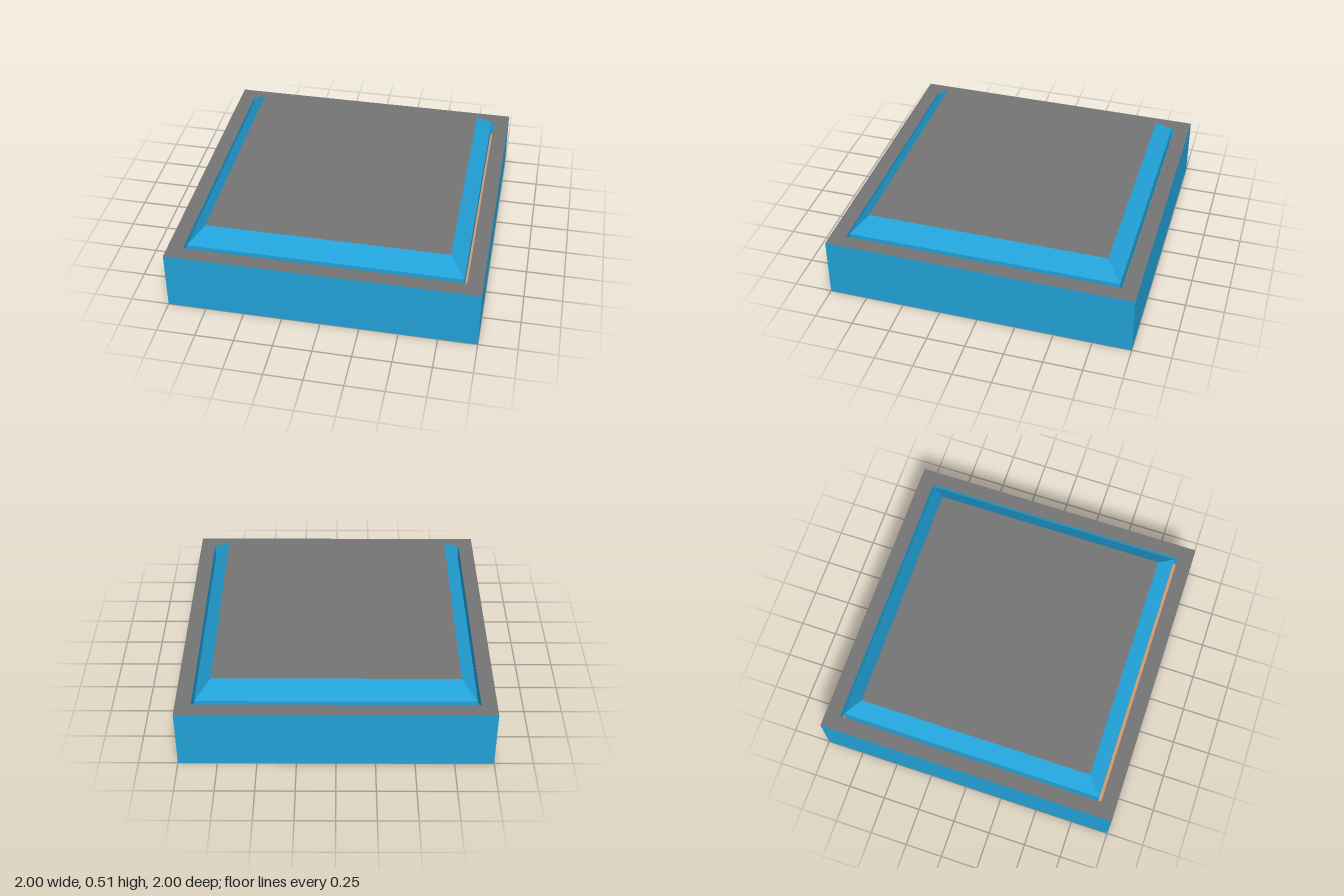
import * as THREE from 'three';

const blue = new THREE.MeshStandardMaterial({ color: 0x22a2d9 });
const grey = new THREE.MeshStandardMaterial({ color: 0x757575 });
const orange = new THREE.MeshStandardMaterial({ color: 0xd8996a });

const BASE = 0.4, FLOOR = 0.3, SHOULDER = 0.41, TOP = 0.51;
const OPENING = 0.9, PAD = 0.88, PAD_TOP = 0.78;

// Square box from y0 to y1 keeping only the listed faces (+x -x +y -y +z -z)
function boxFaces(half, y0, y1, faces, inward = false) {
  const g = new THREE.BoxGeometry(half * 2, y1 - y0, half * 2);
  g.translate(0, (y0 + y1) / 2, 0);
  const source = g.index.array;
  const index = faces.flatMap((f) => Array.from(source.slice(f * 6, f * 6 + 6)));
  if (inward) index.reverse();
  g.setIndex(index);
  g.clearGroups();
  if (inward) for (let i = 0; i < g.attributes.normal.array.length; i++) g.attributes.normal.array[i] *= -1;
  return g;
}

function square(half, Type) {
  return new Type([[-1, -1], [1, -1], [1, 1], [-1, 1]].map(([x, y]) => new THREE.Vector2(x * half, y * half)));
}

export function createModel() {
  const model = new THREE.Group();
  const add = (name, geometry, material) => {
    const mesh = new THREE.Mesh(geometry, material);
    mesh.name = name;
    model.add(mesh);
  };

  // Base block, open at the top
  add('base', boxFaces(1, 0, BASE, [0, 1, 3, 4, 5]), blue);

  // Flat border around the recess
  const border = square(1, THREE.Shape);
  border.holes.push(square(OPENING, THREE.Path));
  add('border', new THREE.ShapeGeometry(border).rotateX(-Math.PI / 2).translate(0, BASE, 0), grey);

  // Recess holding the pad
  const sides = [0, 1, 4, 5];
  add('recessWalls', boxFaces(OPENING, FLOOR, BASE, sides, true), blue);
  add('recessFloor', new THREE.PlaneGeometry(OPENING * 2, OPENING * 2).rotateX(-Math.PI / 2).translate(0, FLOOR, 0), orange);

  // Raised pad: upright sides, bevelled shoulder and flat top
  add('padSides', boxFaces(PAD, FLOOR, SHOULDER, sides), blue);
  const bevel = new THREE.CylinderGeometry(PAD_TOP * Math.SQRT2, PAD * Math.SQRT2, TOP - SHOULDER, 4, 1, true)
    .rotateY(Math.PI / 4)
    .translate(0, (TOP + SHOULDER) / 2, 0)
    .toNonIndexed();
  bevel.computeVertexNormals();
  add('padBevel', bevel, blue);
  add('padTop', new THREE.PlaneGeometry(PAD_TOP * 2, PAD_TOP * 2).rotateX(-Math.PI / 2).translate(0, TOP, 0), grey);

  return model;
}
